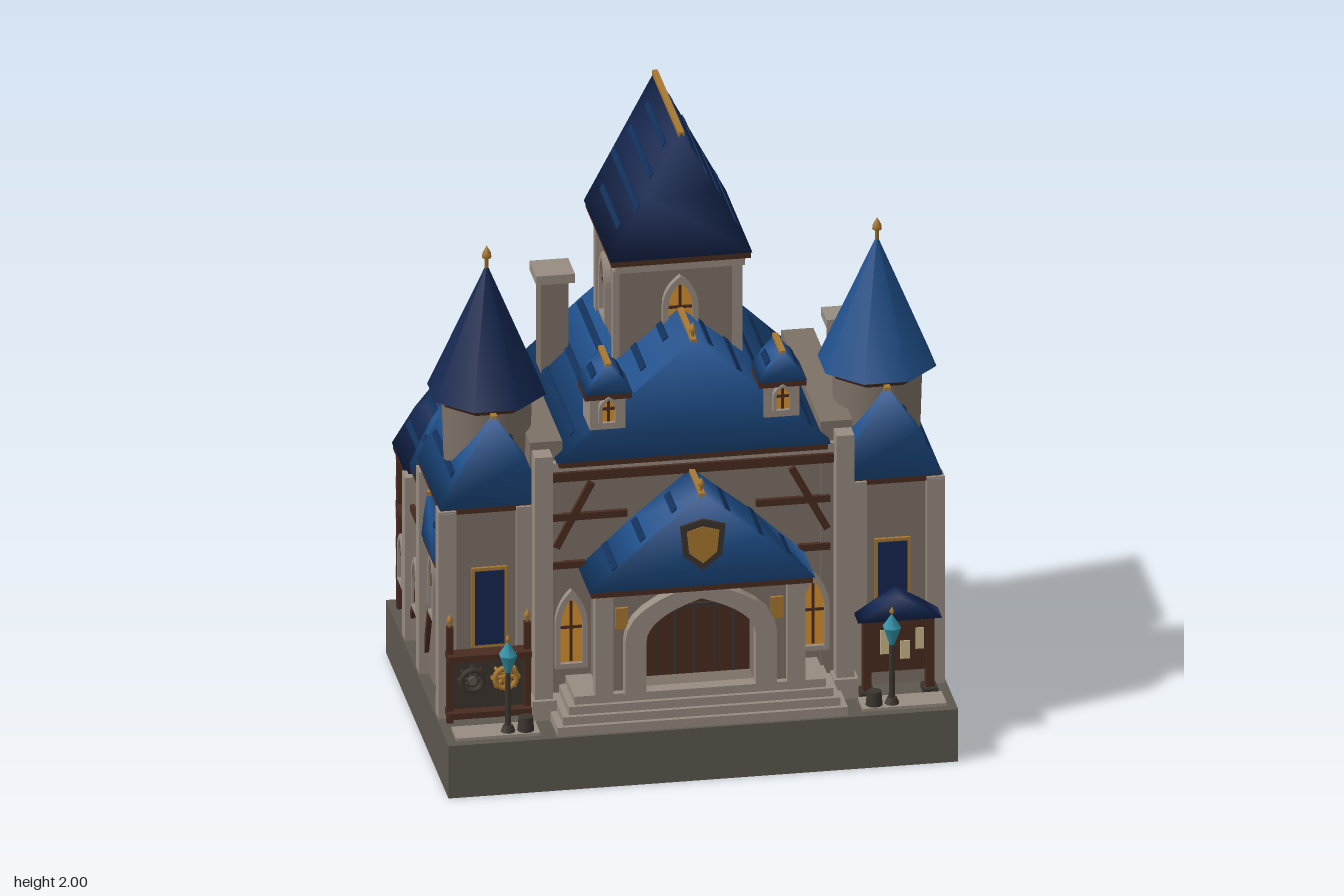
import * as THREE from 'three';
import { mergeVertices } from 'three/addons/utils/BufferGeometryUtils.js';

const C = { wall: 0x7d7166, trim: 0x978c80, base: 0x5c564e, blue: 0x1f4f8a, navy: 0x14264f, wood: 0x4a2b20,
  gold: 0xa87830, glow: 0xd9922f, dark: 0x3b342e, teal: 0x2f90a5, paper: 0xcbb98a, slate: 0x12305a };
const mats = {};
const mat = (c) => (mats[c] ??= new THREE.MeshStandardMaterial({ color: C[c] }));

function add(parent, name, geo, color, x = 0, y = 0, z = 0) {
  const m = new THREE.Mesh(geo, mat(color));
  m.name = name;
  m.position.set(x, y, z);
  parent.add(m);
  return m;
}
function group(parent, name, x = 0, y = 0, z = 0, turn = 0) {
  const g = new THREE.Group();
  g.name = name;
  g.position.set(x, y, z);
  g.rotation.y = turn;
  parent.add(g);
  return g;
}
// box given by its limits on each axis
const block = (p, name, color, x0, x1, y0, y1, z0, z1) =>
  add(p, name, new THREE.BoxGeometry(Math.abs(x1 - x0), y1 - y0, z1 - z0), color, (x0 + x1) / 2, (y0 + y1) / 2, (z0 + z1) / 2);
// flat timber between two points of a wall facing +z
function beam(p, x1, y1, x2, y2, z = 0, t = 0.022, color = 'wood') {
  const m = add(p, 'beam', new THREE.BoxGeometry(Math.hypot(x2 - x1, y2 - y1), t, 0.02), color, (x1 + x2) / 2, (y1 + y2) / 2, z);
  m.rotation.z = Math.atan2(y2 - y1, x2 - x1);
}
const extrude = (shape, depth) => new THREE.ExtrudeGeometry(shape, { depth, bevelEnabled: false, curveSegments: 6 });

// gable roof with ridge along z, soft normals, ridge cap, eave boards and shingle strips
function roof(p, name, color, x, y, z0, z1, hw, h, bulge = 0.53, strips = 3) {
  const g = group(p, name, x, y, 0);
  const s = new THREE.Shape([[-hw, 0], [hw, 0], [hw * bulge, h / 2], [0, h], [-hw * bulge, h / 2]].map((a) => new THREE.Vector2(...a)));
  let geo = extrude(s, z1 - z0);
  geo.deleteAttribute('uv');
  geo.deleteAttribute('normal');
  geo = mergeVertices(geo);
  geo.computeVertexNormals();
  add(g, 'roofSlopes', geo, color, 0, 0, z0);
  const mid = (z0 + z1) / 2, len = z1 - z0;
  if (strips) {
    block(g, 'ridgeCap', 'gold', -0.009, 0.009, h - 0.012, h + 0.003, z0, z1);
    block(g, 'eaveBoard', 'wood', -hw * 0.98, hw * 0.98, -0.02, 0.004, z0 + 0.005, z1 - 0.005);
  }
  for (let i = 0; i < strips; i++) for (const e of [-1, 1]) {
    const t = (i + 0.8) / (strips + 0.7);
    const w = t < 0.5 ? 2 * t * bulge * hw : hw * (bulge + (t - 0.5) * 2 * (1 - bulge));
    const m = add(g, 'shingleCourse', new THREE.BoxGeometry(0.022, 0.008, len * (0.65 + 0.15 * ((i + (e > 0)) % 3))), 'slate', e * w, h * (1 - t), mid);
    m.rotation.z = -e * Math.atan2(h, hw);
  }
  return g;
}
// pointed arch outline, bottom centre at the origin
function arch(w, h, spring = 0.55) {
  const s = new THREE.Shape();
  s.moveTo(-w, 0).lineTo(w, 0).lineTo(w, h * spring);
  s.quadraticCurveTo(w, h * 0.82, 0, h).quadraticCurveTo(-w, h * 0.82, -w, h * spring);
  return s;
}
function archWindow(p, x, y, z, w, h) {
  const g = group(p, 'archWindow', x, y, z);
  const f = arch(w, h);
  const hole = arch(w * 0.68, h * 0.84);
  f.holes.push(new THREE.Path(hole.getPoints(6).map((v) => v.setY(v.y + h * 0.06))));
  add(g, 'windowFrame', extrude(f, 0.022), 'trim');
  add(g, 'windowPane', extrude(arch(w * 0.7, h * 0.86), 0.008), 'glow', 0, h * 0.05, 0);
  block(g, 'mullion', 'wood', -0.004, 0.004, h * 0.08, h * 0.85, 0.006, 0.014);
  block(g, 'crossbar', 'wood', -w * 0.66, w * 0.66, h * 0.5, h * 0.5 + 0.008, 0.006, 0.014);
}
function finial(p, x, y, z, s = 1) {
  const pts = [[0, 0], [0.006, 0], [0.006, 0.03], [0.015, 0.036], [0.013, 0.052], [0, 0.075]];
  add(p, 'finial', new THREE.LatheGeometry(pts.map(([a, b]) => new THREE.Vector2(a * s, b * s)), 8), 'gold', x, y, z);
}
function dormer(p, x, y, z, turn, color, depth) {
  const g = group(p, 'dormer', x, y, z, turn);
  block(g, 'dormerBody', 'trim', -0.055, 0.055, 0, 0.13, -depth, 0);
  archWindow(g, 0, 0.025, 0, 0.03, 0.09);
  roof(g, 'dormerRoof', color, 0, 0.125, -depth, 0.02, 0.075, 0.1, 0.58, 1);
}
function chimney(p, x, z, y0, y1, r) {
  block(p, 'chimney', 'wall', x - r * 0.72, x + r * 0.72, y0, y1 - 0.03, z - r * 0.72, z + r * 0.72);
  block(p, 'chimneyCap', 'trim', x - r, x + r, y1 - 0.03, y1, z - r, z + r);
}

// side wing in three stepped bays, with the round corner tower
function wing(root, s) {
  const g = group(root, s > 0 ? 'leftWing' : 'rightWing');
  const bays = [[-0.06, 0.325, 0.87, 0.17, 0.3, 0.34], [-0.28, -0.06, 0.75, 0.155, 0.285, -0.06], [-0.515, -0.28, 0.71, 0.165, 0.23, -0.27]];
  bays.forEach(([z0, z1, top, hw, h, rz], i) => {
    block(g, 'wingWall', 'wall', s * 0.46, s * 0.755, 0.175, top, z0, z1);
    roof(g, 'wingRoof', i === 2 && s < 0 ? 'navy' : 'blue', s * 0.61, top, i === 2 ? -0.53 : z0, rz, hw, h, 0.57, 2);
  });
  // corner tower
  const t = group(g, 'cornerTower', s * 0.605, 0, 0.172);
  add(t, 'towerDrum', new THREE.CylinderGeometry(0.14, 0.13, 0.34, 20), 'wall', 0, 1.02, 0);
  add(t, 'towerCornice', new THREE.CylinderGeometry(0.165, 0.15, 0.03, 8), 'wood', 0, 1.18, 0).rotation.y = Math.PI / 8;
  add(t, 'towerCone', new THREE.ConeGeometry(0.186, 0.42, 8), s > 0 ? 'blue' : 'navy', 0, 1.4, 0).rotation.y = Math.PI / 8;
  finial(t, 0, 1.595, 0);
  // front face: tall shutter window and corner posts
  block(g, 'shutterFrame', 'gold', s * 0.57, s * 0.68, 0.4, 0.665, 0.32, 0.335);
  block(g, 'shutter', 'navy', s * 0.58, s * 0.67, 0.41, 0.655, 0.325, 0.34);
  for (const x of [0.515, 0.757]) block(g, 'cornerPost', 'trim', s * (x - 0.028), s * (x + 0.028), 0.175, 0.865, 0.29, 0.345);
  // outer face: local x runs along -s * z
  const f = group(g, 'outerFace', s * 0.755, 0, 0, s * Math.PI / 2);
  const X = (z) => -s * z;
  for (const [z, top] of [[0.32, 0.86], [-0.02, 0.85], [-0.27, 0.72]]) block(f, 'pier', 'trim', X(z) - 0.028, X(z) + 0.028, 0.175, top, -0.02, 0.03);
  for (const [z, y, h] of [[0.15, 0.43, 0.22], [-0.14, 0.32, 0.18], [-0.385, 0.3, 0.17]]) archWindow(f, X(z), y, 0, 0.045, h);
  roof(f, 'windowGable', 'blue', X(0.15), 0.66, -0.05, 0.03, 0.105, 0.19, 0.57, 1);
  for (const [a, b, c, d] of [[0.14, 0.6, 0, 0.25], [-0.05, 0.52, -0.24, 0.26], [-0.05, 0.62, -0.25, 0.62], [-0.475, 0.18, -0.475, 0.7],
    [-0.3, 0.52, -0.5, 0.52], [0.29, 0.4, 0.2, 0.2]]) beam(f, X(a), b, X(c), d, 0.004);
  // stone courses and corner blocks at the back
  for (let i = 0; i < 5; i++) {
    const y = 0.24 + i * 0.1;
    block(g, 'stoneCourse', 'dark', s * 0.48, s * 0.74, y, y + 0.01, -0.52, -0.51);
    block(g, 'quoin', 'trim', s * 0.72, s * 0.765, y + 0.02, y + 0.06, -0.525, -0.48);
  }
  // lamp and barrel on the forecourt
  block(g, 'paving', 'trim', s * 0.5, s * 0.76, 0.17, 0.185, 0.43, 0.52);
  const l = group(g, 'streetLamp', s * 0.595, 0.175, 0.49);
  add(l, 'lampFoot', new THREE.CylinderGeometry(0.015, 0.027, 0.03, 8), 'dark', 0, 0.015, 0);
  add(l, 'lampPost', new THREE.CylinderGeometry(0.008, 0.01, 0.21, 8), 'dark', 0, 0.11, 0);
  add(l, 'lampGlass', new THREE.CylinderGeometry(0.03, 0.008, 0.06, 6), 'teal', 0, 0.235, 0);
  add(l, 'lampShade', new THREE.ConeGeometry(0.03, 0.045, 6), 'teal', 0, 0.287, 0);
  finial(l, 0, 0.295, 0, 0.5);
  add(g, 'barrel', new THREE.CylinderGeometry(0.022, 0.027, 0.05, 12), 'dark', s * 0.54, 0.205, 0.49);
}

export function createModel() {
  const root = new THREE.Group();
  root.name = 'townHall';
  block(root, 'base', 'base', -0.79, 0.79, 0, 0.175, -0.55, 0.55);

  // main hall with parapets and front columns
  block(root, 'hallWall', 'wall', -0.46, 0.46, 0.175, 1.02, -0.34, 0.335);
  roof(root, 'hallRoof', 'blue', 0, 1.02, -0.385, 0.385, 0.425, 0.38, 0.53, 5);
  finial(root, 0, 1.39, 0.36, 0.8);
  finial(root, 0, 1.39, -0.355, 0.8);
  const front = group(root, 'hallFront', 0, 0, 0.34);
  for (const s of [-1, 1]) {
    block(root, 'parapet', 'wall', s * 0.4, s * 0.5, 0.175, 1.075, -0.35, 0.34);
    block(root, 'hallColumn', 'trim', s * 0.44, s * 0.495, 0.175, 1.05, 0.33, 0.4);
    block(root, 'columnFoot', 'trim', s * 0.43, s * 0.505, 0.175, 0.24, 0.33, 0.415);
    archWindow(front, s * 0.375, 0.32, 0, 0.05, 0.26);
    beam(front, s * 0.42, 0.72, s * 0.31, 0.93);
    beam(front, s * 0.43, 0.82, s * 0.2, 0.82);
    beam(front, s * 0.43, 0.66, s * 0.33, 0.66);
    dormer(root, s * 0.27, 1.13, 0.4, 0, 'blue', 0.12);
    dormer(root, s * 0.17, 0.865, -0.53, Math.PI, 'navy', 0.1);
    wing(root, s);
  }
  beam(front, -0.44, 0.955, 0.44, 0.955, 0, 0.03);
  beam(front, -0.44, 0.995, 0.44, 0.995, 0.01, 0.03, 'trim');

  // upper tower
  const tower = group(root, 'upperTower', 0, 0, -0.07);
  block(tower, 'towerBody', 'wall', -0.185, 0.185, 1.0, 1.57, -0.2, 0.2);
  block(tower, 'towerBand', 'trim', -0.2, 0.2, 1.53, 1.57, -0.215, 0.215);
  for (let i = 0; i < 4; i++) {
    const f = group(tower, 'towerFace', 0, 0, 0, i * Math.PI / 2);
    archWindow(f, 0, 1.29, i % 2 ? 0.185 : 0.2, 0.055, 0.22);
    block(f, 'towerCorner', 'trim', 0.165, 0.195, 1.2, 1.53, 0.165, 0.205);
  }
  roof(root, 'towerRoof', 'navy', 0, 1.58, -0.303, 0.168, 0.22, 0.417, 0.5, 4);
  chimney(root, -0.332, -0.222, 1.0, 1.4, 0.06);
  chimney(root, 0.578, -0.328, 0.75, 1.13, 0.049);

  // entrance porch and steps
  for (let i = 0; i < 4; i++) block(root, 'step', 'trim', -0.45 + i * 0.02, 0.45 - i * 0.02, 0.17, 0.205 + i * 0.027, 0.33, 0.54 - i * 0.014);
  const porch = group(root, 'porch', 0, 0.285, 0);
  const face = new THREE.Shape([[-0.31, 0], [0.31, 0], [0.31, 0.36], [-0.31, 0.36]].map((a) => new THREE.Vector2(...a)));
  const ring = arch(0.235, 0.36, 0.5);
  for (const s of [face, ring]) s.holes.push(new THREE.Path(arch(0.17, 0.3, 0.55).getPoints(8).map((v) => v.setY(v.y + 0.008))));
  add(porch, 'porchWall', extrude(face, 0.14), 'wall', 0, 0, 0.335);
  add(porch, 'doorArch', extrude(ring, 0.045), 'trim', 0, 0, 0.47);
  block(porch, 'doorPanel', 'wood', -0.18, 0.18, 0, 0.31, 0.36, 0.4);
  for (let i = -2; i <= 2; i++) block(porch, 'doorPlank', 'dark', i * 0.06 - 0.004, i * 0.06 + 0.004, 0.01, 0.26, 0.395, 0.405);
  block(porch, 'doorLintel', 'dark', -0.17, 0.17, 0.23, 0.245, 0.395, 0.41);
  for (const s of [-1, 1]) {
    block(porch, 'porchColumn', 'trim', s * 0.27, s * 0.325, -0.1, 0.36, 0.45, 0.5);
    block(porch, 'plaque', 'gold', s * 0.222, s * 0.26, 0.21, 0.28, 0.47, 0.485);
  }
  roof(root, 'porchRoof', 'blue', 0, 0.645, 0.335, 0.535, 0.35, 0.305, 0.53, 3);
  finial(root, 0, 0.945, 0.51, 0.7);
  const shield = new THREE.Shape().moveTo(-0.07, 0.15).lineTo(0, 0.17).lineTo(0.07, 0.15).lineTo(0.06, 0.05).lineTo(0, 0).lineTo(-0.06, 0.05);
  add(root, 'shield', extrude(shield, 0.01), 'dark', 0, 0.7, 0.535);
  add(root, 'shieldCentre', extrude(shield, 0.008).scale(0.72, 0.72, 1), 'gold', 0, 0.725, 0.54);

  // rear block with its own door
  block(root, 'rearWall', 'wall', -0.29, 0.29, 0.175, 0.8, -0.51, -0.33);
  roof(root, 'rearRoof', 'navy', 0, 0.8, -0.545, -0.3, 0.33, 0.33, 0.55, 3);
  const rear = group(root, 'rearFace', 0, 0, -0.51, Math.PI);
  block(rear, 'rearDoor', 'wood', -0.14, 0.14, 0.18, 0.47, -0.01, 0.012);
  block(rear, 'rearDoorRail', 'dark', -0.14, 0.14, 0.33, 0.345, 0, 0.016);
  for (const x of [-0.07, 0, 0.07]) block(rear, 'rearDoorPlank', 'dark', x - 0.004, x + 0.004, 0.18, 0.46, 0, 0.016);
  roof(rear, 'rearDoorGable', 'blue', 0, 0.48, -0.02, 0.035, 0.16, 0.11, 0.55, 1);
  beam(rear, -0.28, 0.72, 0.28, 0.72, 0.005, 0.03);
  for (const s of [-1, 1]) {
    archWindow(rear, s * 0.195, 0.44, 0, 0.04, 0.2);
    block(rear, 'rearColumn', 'trim', s * 0.25, s * 0.3, 0.175, 0.78, -0.02, 0.03);
  }

  // gear rack in front of the right wing
  const rack = group(root, 'gearRack', -0.635, 0.175, 0.375);
  block(rack, 'rackBack', 'dark', -0.11, 0.11, 0.03, 0.21, -0.02, -0.005);
  for (const y of [0.02, 0.21]) block(rack, 'rackShelf', 'wood', -0.13, 0.13, y, y + 0.02, -0.025, 0.03);
  for (const s of [-1, 1]) {
    block(rack, 'rackPost', 'wood', s * 0.11, s * 0.13, 0, 0.32, -0.01, 0.01);
    finial(rack, s * 0.12, 0.31, 0, 0.7);
    add(rack, 'gearRim', new THREE.TorusGeometry(0.034, 0.009, 6, 16), s > 0 ? 'gold' : 'dark', s * 0.052, 0.14, 0.01);
    add(rack, 'gearHub', new THREE.CylinderGeometry(0.014, 0.014, 0.03, 10), s > 0 ? 'gold' : 'base', s * 0.052, 0.14, 0.005).rotation.x = Math.PI / 2;
    for (let i = 0; i < 4; i++) beam(rack, s * 0.052 - 0.045 * Math.cos(i * Math.PI / 4), 0.14 - 0.045 * Math.sin(i * Math.PI / 4),
      s * 0.052 + 0.045 * Math.cos(i * Math.PI / 4), 0.14 + 0.045 * Math.sin(i * Math.PI / 4), 0, 0.009, s > 0 ? 'gold' : 'dark');
  }

  // notice board in front of the left wing
  const board = group(root, 'noticeBoard', 0.63, 0.175, 0.4);
  block(board, 'boardPanel', 'wood', -0.1, 0.1, 0.08, 0.25, -0.01, 0.01);
  for (const s of [-1, 1]) {
    block(board, 'boardPost', 'wood', s * 0.085, s * 0.11, 0, 0.27, -0.015, 0.015);
    block(board, 'boardFoot', 'dark', s * 0.075, s * 0.12, 0, 0.02, -0.03, 0.03);
  }
  for (const [x, y, w, h] of [[-0.04, 0.14, 0.035, 0.08], [0.02, 0.12, 0.03, 0.06], [0.065, 0.15, 0.025, 0.07]])
    block(board, 'paperNote', 'paper', x - w / 2, x + w / 2, y, y + h, 0.008, 0.014);
  roof(board, 'boardRoof', 'navy', 0, 0.26, -0.04, 0.04, 0.13, 0.08, 0.53, 0);
  return root;
}
